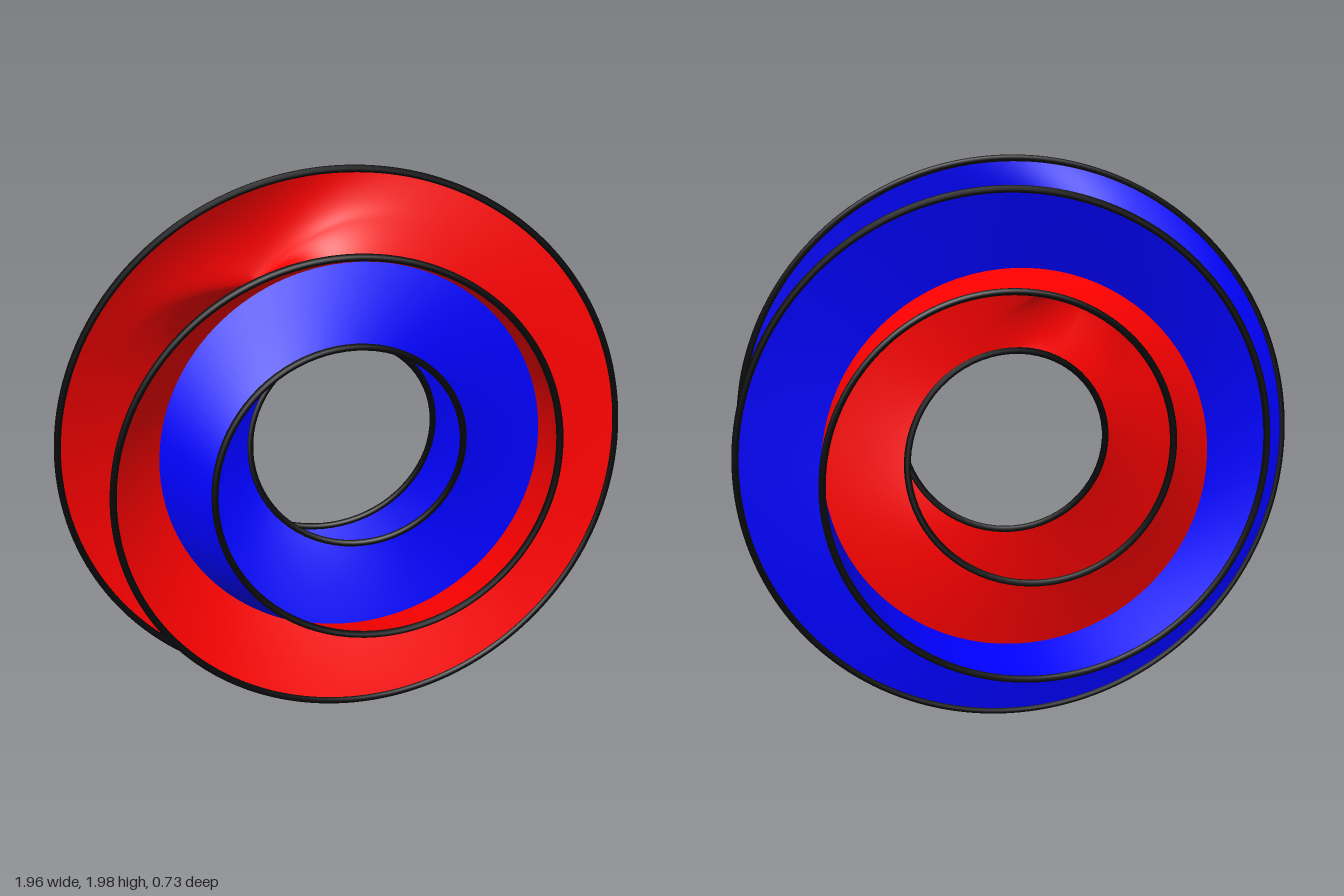
import * as THREE from 'three';

const R = 0.663, A_R = 0.327, A_Z = 0.352;     // ring radius and section half axes
const CORE = 0.46, WOBBLE = 0.2;               // where sheets meet inside the section
const SADDLE = 2.05, M0 = 0.2;                 // where two sheets pass into each other
const REACH = 1.6, WIDTH = 0.36;               // extent of the bend and of the saddle
const SKIN = 0.002;                            // offset of each coloured layer

// Section coordinates (a, b) at ring angle t -> model space
function place(t, a, b) {
  const r = R + A_R * a;
  return new THREE.Vector3(0.02 + r * Math.cos(t), 1.003 + r * Math.sin(t), A_Z * b);
}

const polar = (r, angle) => [r * Math.cos(angle), r * Math.sin(angle)];
const mix = (p, q, m) => [p[0] + (q[0] - p[0]) * m, p[1] + (q[1] - p[1]) * m];
const bell = v => Math.exp(-v * v);

// Ends of a sheet in the squared section plane: at the rim and at the core
const rim = t => polar(1, (Math.PI - t) / 3);
const core = t => polar(CORE * CORE, Math.PI - 2 * WOBBLE * Math.sin(t));
const bend = mix(core(SADDLE), rim(SADDLE), M0).map(v => -v / (M0 * (1 - M0)));

// One half of the surface: three turns of a straight sheet running from rim to
// core, blending into a saddle at both ends of the strip
function sheetGeometry(half, flip) {
  const cols = 360, rows = 40, pos = [], index = [];
  for (let i = 0; i <= cols; i++) {
    const w = i / cols;
    const d = THREE.MathUtils.clamp(6 * Math.PI * w * w * (3 - 2 * w), 1e-5, 6 * Math.PI - 1e-5);
    const t = SADDLE + d, near = Math.min(d, 6 * Math.PI - d);
    const rimPoint = polar(1, (Math.PI - t) / 6 + half * Math.PI);
    const corePoint = polar(CORE, (half - 0.5) * Math.PI - WOBBLE * Math.sin(t));
    let u = rimPoint;
    for (let j = 0; j <= rows; j++) {
      const x = 1 - 2 * j / rows;
      const m = M0 + (x > 0 ? (1 - M0) : -M0) * x * x;
      const s = mix(core(t), rim(t), m);
      const f = bell(near / REACH) * m * (1 - m);
      const sx = s[0] + bend[0] * f, sy = s[1] + bend[1] * f;
      // square root, following the branch of the previous row
      let v = polar(Math.sqrt(Math.hypot(sx, sy)), Math.atan2(sy, sx) / 2);
      if (v[0] * u[0] + v[1] * u[1] < 0) v = [-v[0], -v[1]];
      u = v;
      const straight = mix(corePoint, rimPoint, (x + 1) / 2);
      pos.push(...place(t, ...mix(straight, u, bell(near / WIDTH))).toArray());
      if (i < cols && j < rows) {
        const a = i * (rows + 1) + j, b = a + rows + 1;
        if (flip) index.push(a, a + 1, b, b, a + 1, b + 1);
        else index.push(a, b, a + 1, b, b + 1, a + 1);
      }
    }
  }
  const g = new THREE.BufferGeometry();
  g.setAttribute('position', new THREE.Float32BufferAttribute(pos, 3));
  g.setIndex(index);
  g.computeVertexNormals();
  // lift the layer off its twin of the other colour
  const p = g.attributes.position.array, n = g.attributes.normal.array;
  for (let i = 0; i < p.length; i++) p[i] += n[i] * SKIN;
  return g;
}

// Closed rim curve: six turns around the ring, one around its section
class RimCurve extends THREE.Curve {
  getPoint(v, target = new THREE.Vector3()) {
    const t = v * 12 * Math.PI;
    return target.copy(place(t, ...polar(1, (Math.PI - t) / 6)));
  }
}

export function createModel() {
  const group = new THREE.Group();
  const add = (name, geometry, color, side) => {
    const mesh = new THREE.Mesh(geometry, new THREE.MeshStandardMaterial({ color, side }));
    mesh.name = name;
    group.add(mesh);
  };

  // Two-coloured sheets
  for (const half of [0, 1]) {
    add('redSide' + (half + 1), sheetGeometry(half, false), 0xff0000, THREE.DoubleSide);
    add('blueSide' + (half + 1), sheetGeometry(half, true), 0x0000ff, THREE.DoubleSide);
  }

  // Black rim
  add('rimTube', new THREE.TubeGeometry(new RimCurve(), 720, 0.012, 8, true), 0x080808, THREE.FrontSide);
  return group;
}
